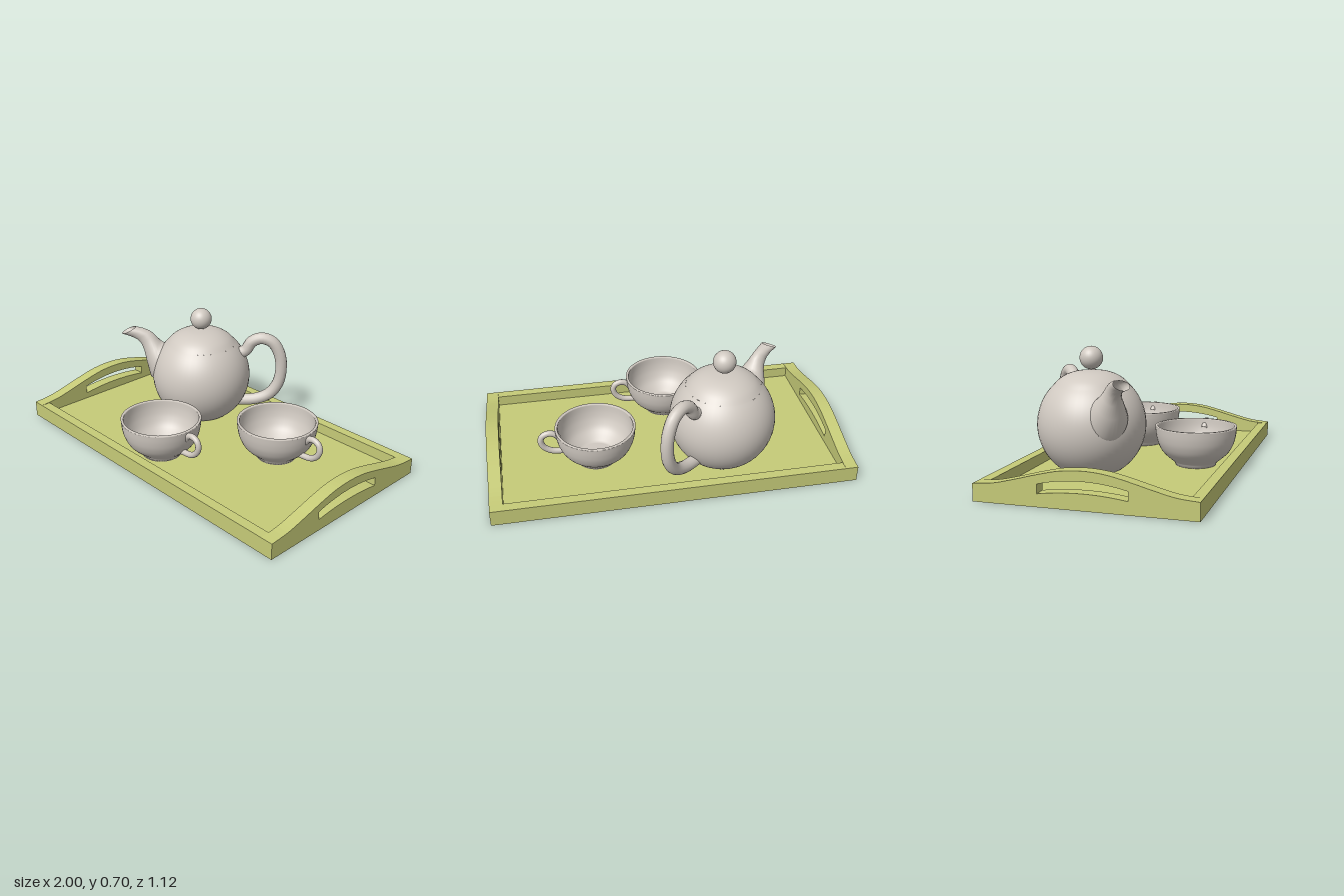
import * as THREE from 'three';

const V2 = (p) => new THREE.Vector2(p[0], p[1]);
const V3 = (p) => new THREE.Vector3(p[0], p[1], p[2] || 0);

const green = new THREE.MeshStandardMaterial({ color: 0xc6cb78, name: 'trayGreen' });
const ceramic = new THREE.MeshStandardMaterial({ color: 0xd0c9c1, name: 'ceramic' });
const ceramicOpen = ceramic;
ceramicOpen.side = THREE.DoubleSide;

function add(parent, name, geometry, material, x = 0, y = 0, z = 0) {
  const mesh = new THREE.Mesh(geometry, material);
  mesh.name = name;
  mesh.position.set(x, y, z);
  parent.add(mesh);
  return mesh;
}

const tube = (pts, r) =>
  new THREE.TubeGeometry(new THREE.CatmullRomCurve3(pts.map(V3)), 48, r, 14);

const smooth = (pts, n) => new THREE.SplineCurve(pts.map(V2)).getPoints(n);

// Lofted skin: each ring is [low x, low y, high x, high y, half width]
function loft(rings, n = 28) {
  const pos = [], index = [];
  rings.forEach(([lx, ly, hx, hy, w], i) => {
    for (let j = 0; j < n; j++) {
      const t = (j / n) * Math.PI * 2, c = Math.cos(t) / 2;
      pos.push((lx + hx) / 2 + c * (hx - lx), (ly + hy) / 2 + c * (hy - ly), w * Math.sin(t));
      if (i === rings.length - 1) continue;
      const a = i * n + j, b = i * n + ((j + 1) % n);
      index.push(a, b, b + n, a, b + n, a + n);
    }
  });
  const g = new THREE.BufferGeometry();
  g.setAttribute('position', new THREE.Float32BufferAttribute(pos, 3));
  g.setIndex(index);
  g.computeVertexNormals();
  return g;
}

function buildTray() {
  const tray = new THREE.Group();
  tray.name = 'tray';
  add(tray, 'trayFloor', new THREE.BoxGeometry(1.86, 0.03, 1.02), green, 0, 0.015, 0);
  for (const s of [1, -1]) {
    add(tray, s > 0 ? 'frontRail' : 'backRail',
      new THREE.BoxGeometry(1.86, 0.09, 0.055), green, 0, 0.045, s * 0.5325);
  }

  // Arched end panel with a curved hand slot
  const half = [[0.56, 0.09], [0.45, 0.1], [0.34, 0.126], [0.22, 0.158], [0.11, 0.182], [0, 0.19]];
  const arch = [...half, ...half.slice(0, -1).reverse().map(([z, y]) => [-z, y])];
  const end = new THREE.Shape();
  end.moveTo(-0.56, 0);
  end.lineTo(0.56, 0);
  smooth(arch, 40).forEach((p) => end.lineTo(p.x, p.y));
  end.closePath();
  const slot = new THREE.Path();
  slot.moveTo(-0.225, 0.065);
  slot.lineTo(-0.225, 0.112);
  slot.quadraticCurveTo(0, 0.168, 0.225, 0.112);
  slot.lineTo(0.225, 0.065);
  slot.quadraticCurveTo(0, 0.1, -0.225, 0.065);
  end.holes.push(slot);
  const geo = new THREE.ExtrudeGeometry(end, { depth: 0.07, bevelEnabled: false, curveSegments: 10 });
  geo.translate(0, 0, -0.035);
  geo.rotateY(Math.PI / 2);
  add(tray, 'leftHandlePanel', geo, green, 0.965);
  add(tray, 'rightHandlePanel', geo, green, -0.965);
  return tray;
}

function buildCup(x, z) {
  const cup = new THREE.Group();
  cup.name = 'cup';
  const outer = smooth([[0.115, 0.045], [0.178, 0.1], [0.207, 0.15], [0.22, 0.2], [0.225, 0.25]], 20);
  const inner = smooth([[0.211, 0.25], [0.206, 0.2], [0.192, 0.15], [0.163, 0.1], [0.107, 0.055]], 20);
  const profile = [V2([0, 0.03]), V2([0.112, 0.03]), ...outer, ...inner, V2([0.1, 0.054]), V2([0, 0.054])];
  add(cup, 'cupBowl', new THREE.LatheGeometry(profile, 48), ceramic);
  add(cup, 'cupHandle', tube([[0.205, 0.195], [0.228, 0.222], [0.262, 0.231], [0.296, 0.216],
    [0.307, 0.185], [0.292, 0.145], [0.25, 0.115], [0.17, 0.105]], 0.017), ceramic);
  cup.position.set(x, 0, z);
  return cup;
}

// Teapot with its spout along local +x
function buildTeapot() {
  const pot = new THREE.Group();
  pot.name = 'teapot';
  const R = 0.295, cy = 0.275, body = [V2([0, 0.03])];
  const a0 = Math.asin((0.03 - cy) / R), a1 = Math.asin((0.485 - cy) / R);
  for (let i = 0; i <= 28; i++) {
    const a = a0 + ((a1 - a0) * i) / 28;
    body.push(V2([R * Math.cos(a), cy + R * Math.sin(a)]));
  }
  add(pot, 'teapotBody', new THREE.LatheGeometry(body, 48), ceramic);
  const lid = smooth([[0.207, 0.485], [0.175, 0.518], [0.13, 0.545], [0.075, 0.561], [0, 0.567]], 16);
  lid[lid.length - 1].x = 0;
  add(pot, 'teapotLid', new THREE.LatheGeometry(lid, 48), ceramic);
  add(pot, 'lidKnob', new THREE.SphereGeometry(0.063, 32, 20), ceramic, 0, 0.633, 0);

  add(pot, 'spout', loft([
    [0.25, 0.2, 0.18, 0.46, 0.11],
    [0.31, 0.25, 0.235, 0.465, 0.1],
    [0.335, 0.35, 0.252, 0.478, 0.075],
    [0.35, 0.42, 0.272, 0.5, 0.053],
    [0.367, 0.46, 0.29, 0.522, 0.042],
    [0.395, 0.488, 0.315, 0.54, 0.037],
    [0.435, 0.505, 0.355, 0.554, 0.037],
    [0.485, 0.52, 0.4, 0.561, 0.042],
  ]), ceramicOpen);

  add(pot, 'teapotHandle', tube([[-0.22, 0.42], [-0.27, 0.445], [-0.305, 0.5], [-0.365, 0.525],
    [-0.43, 0.502], [-0.473, 0.43], [-0.486, 0.34], [-0.47, 0.24], [-0.42, 0.165],
    [-0.34, 0.125], [-0.2, 0.11]], 0.035), ceramic);
  // Rounded upper end of the handle
  add(pot, 'handleTip', new THREE.SphereGeometry(0.035, 16, 12), ceramic, -0.262, 0.438, 0);

  pot.position.set(-0.31, 0, -0.205);
  pot.rotation.y = Math.PI + 0.696;
  return pot;
}

export function createModel() {
  const model = new THREE.Group();
  model.name = 'teaSet';
  model.add(buildTray(), buildTeapot(), buildCup(-0.073, 0.318), buildCup(0.395, -0.128));
  return model;
}
